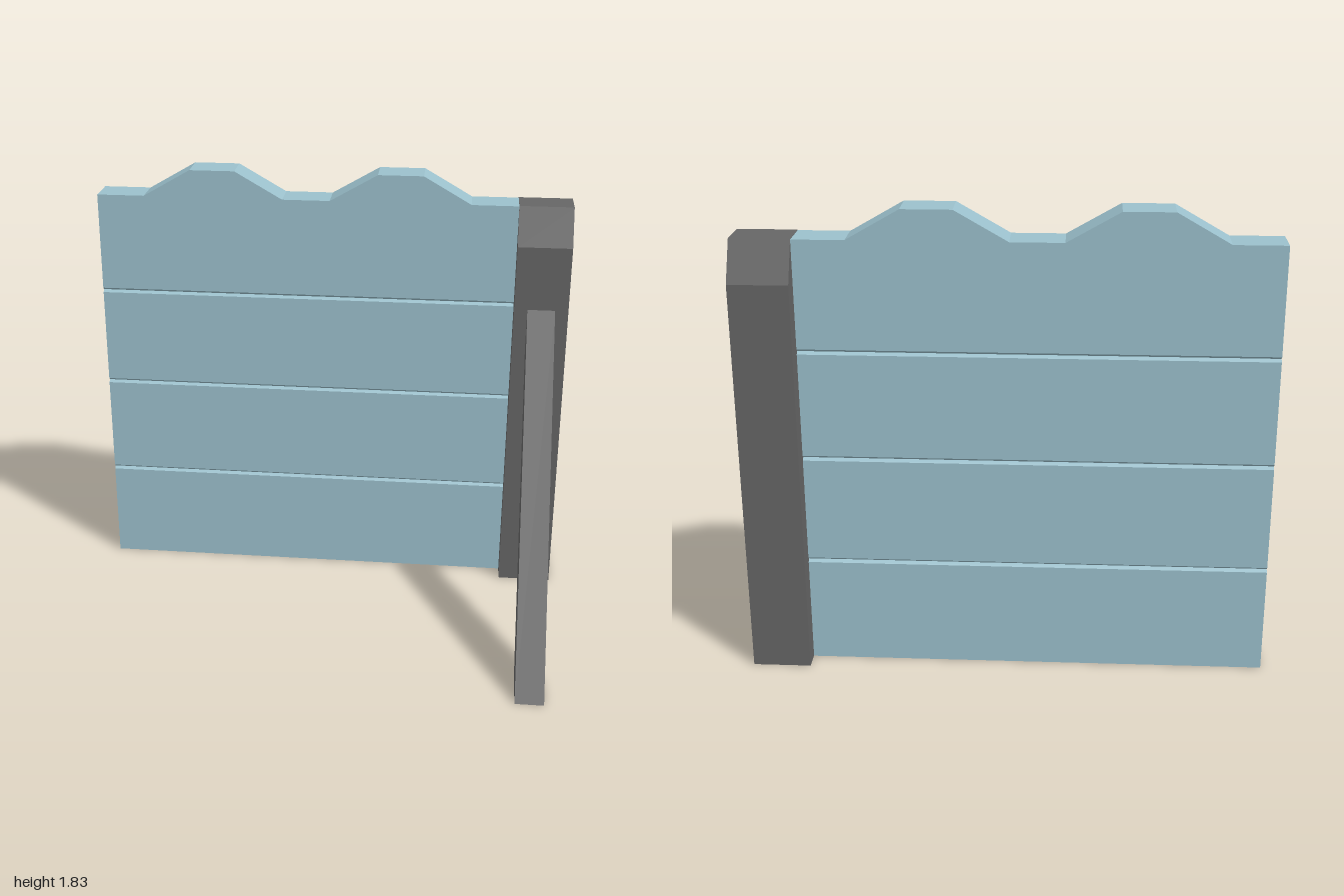
import * as THREE from 'three';

const wood = new THREE.MeshStandardMaterial({ color: 0x666666, flatShading: true });
const panel = new THREE.MeshStandardMaterial({ color: 0x9bc0cc, flatShading: true, side: THREE.DoubleSide });

const LEFT = -1, RIGHT = 0.775, FRONT = -0.42, BACK = -0.56;
const GROOVES = [0.43, 0.86, 1.285], GAP = 0.01, DEPTH = 0.012;

function addMesh(group, name, geometry, material) {
  const mesh = new THREE.Mesh(geometry, material);
  mesh.name = name;
  group.add(mesh);
}

// Extrudes a side profile of [z, y] points from x0 to x1
function sideExtrude(points, x0, x1) {
  const shape = new THREE.Shape(points.map(p => new THREE.Vector2(...p)));
  const geometry = new THREE.ExtrudeGeometry(shape, { depth: x1 - x0, bevelEnabled: false });
  return geometry.rotateY(-Math.PI / 2).translate(x1, 0, 0);
}

// Strip of flat quads between two equally long lines of points
function ribbon(a, b) {
  const positions = [];
  for (let i = 0; i < a.length - 1; i++) {
    positions.push(...a[i], ...b[i], ...b[i + 1], ...a[i], ...b[i + 1], ...a[i + 1]);
  }
  const geometry = new THREE.BufferGeometry();
  geometry.setAttribute('position', new THREE.Float32BufferAttribute(positions, 3));
  geometry.computeVertexNormals();
  return geometry;
}

export function createModel() {
  const model = new THREE.Group();
  model.name = 'fenceSection';

  // Hollow board panel, open at its free end
  const boards = new THREE.Group();
  boards.name = 'boardPanel';
  model.add(boards);

  // Grooved boards: [y, inset] profile from the ground to above the last groove
  const profile = [[0, 0]];
  for (const y of GROOVES) profile.push([y - GAP, 0], [y, DEPTH], [y + GAP, 0]);
  const lineAt = (x, z, inward) => profile.map(([y, d]) => [x, y, z + inward * d]);
  addMesh(boards, 'frontBoards', ribbon(lineAt(LEFT, FRONT, -1), lineAt(RIGHT, FRONT, -1)), panel);
  addMesh(boards, 'backBoards', ribbon(lineAt(RIGHT, BACK, 1), lineAt(LEFT, BACK, 1)), panel);

  // Wavy top board
  const wave = [[LEFT, 1.71], [-0.8, 1.71], [-0.6, 1.825], [-0.41, 1.825], [-0.21, 1.71],
    [-0.01, 1.71], [0.19, 1.825], [0.38, 1.825], [0.58, 1.71], [RIGHT, 1.71]];
  const seam = GROOVES[2] + GAP;
  const crest = z => wave.map(([x, y]) => [x, y, z]);
  const base = (z, y) => wave.map(([x]) => [x, y, z]);
  addMesh(boards, 'topBoardFront', ribbon(crest(FRONT), base(FRONT, seam)), panel);
  addMesh(boards, 'topBoardBack', ribbon(base(BACK, seam), crest(BACK)), panel);
  addMesh(boards, 'topEdge', ribbon(crest(BACK), crest(FRONT)), panel);
  addMesh(boards, 'bottomEdge', ribbon(
    [[LEFT, 0, FRONT], [RIGHT, 0, FRONT]], [[LEFT, 0, BACK], [RIGHT, 0, BACK]]), panel);

  // Post with a chamfered top
  addMesh(model, 'post', sideExtrude([[-0.34, 0], [-0.34, 1.56], [FRONT, 1.712],
    [BACK, 1.712], [-0.635, 1.56], [-0.635, 0]], RIGHT, 1), wood);

  // Slanted brace leaning on the post
  addMesh(model, 'brace', sideExtrude([[0.635, 0], [-0.34, 1.29], [-0.34, 1.12],
    [0.475, 0]], 0.83, 0.945), wood);

  return model;
}
